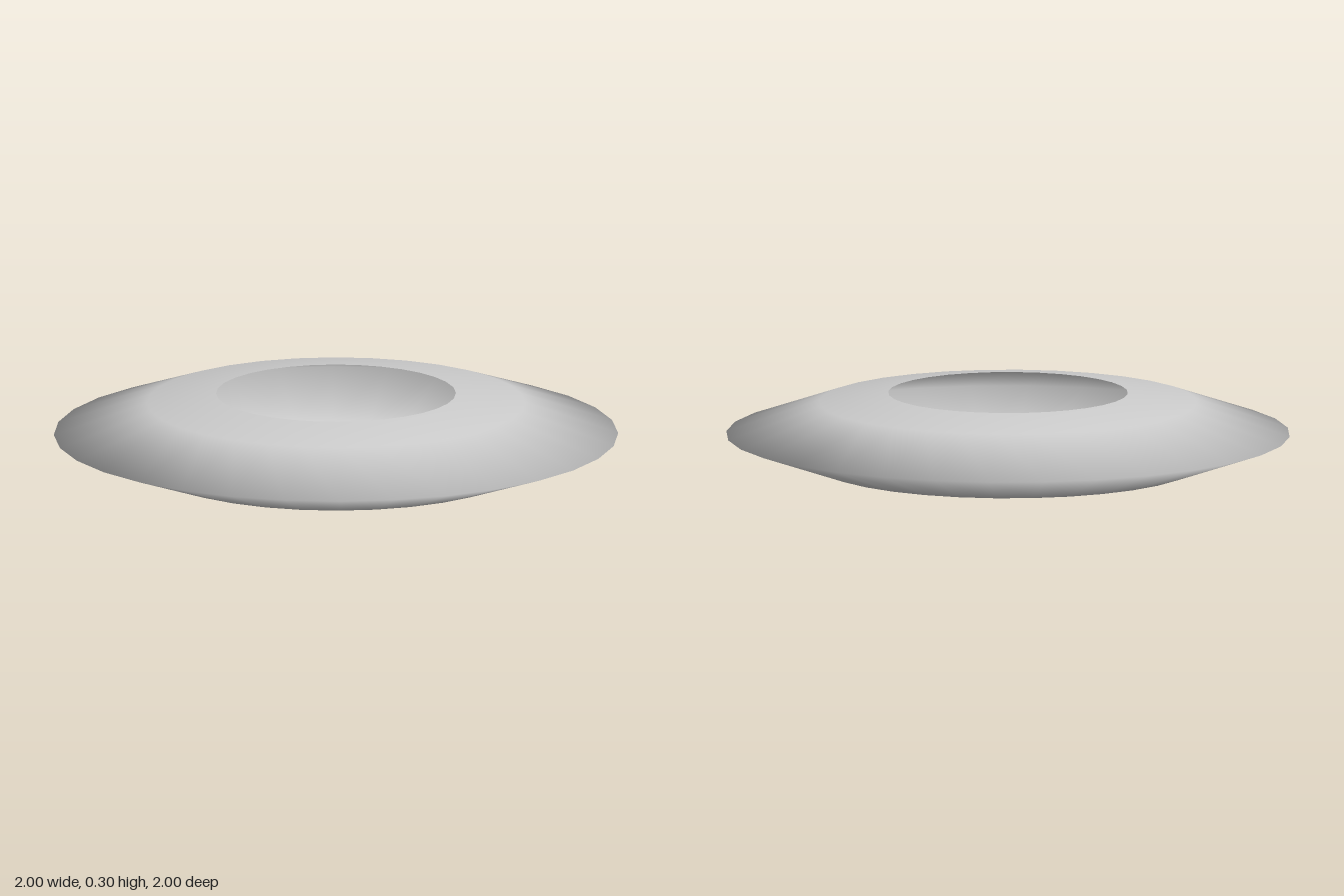
import * as THREE from 'three';

export function createModel() {
  const group = new THREE.Group();
  const material = new THREE.MeshStandardMaterial({ color: 0xcccccc, side: THREE.DoubleSide });

  // Half profile from the lower hole rim, around the outer edge, to the upper hole rim.
  // The ring is a hollow shell, open towards the hole.
  const mid = 0.149;
  const profile = [
    [0.425, -mid], [0.67, -0.115], [1, 0], [0.67, 0.115], [0.425, mid],
  ].map(([r, y]) => new THREE.Vector2(r, y + mid));

  const ring = new THREE.Mesh(new THREE.LatheGeometry(profile, 32), material);
  ring.name = 'ringShell';
  group.add(ring);
  return group;
}
